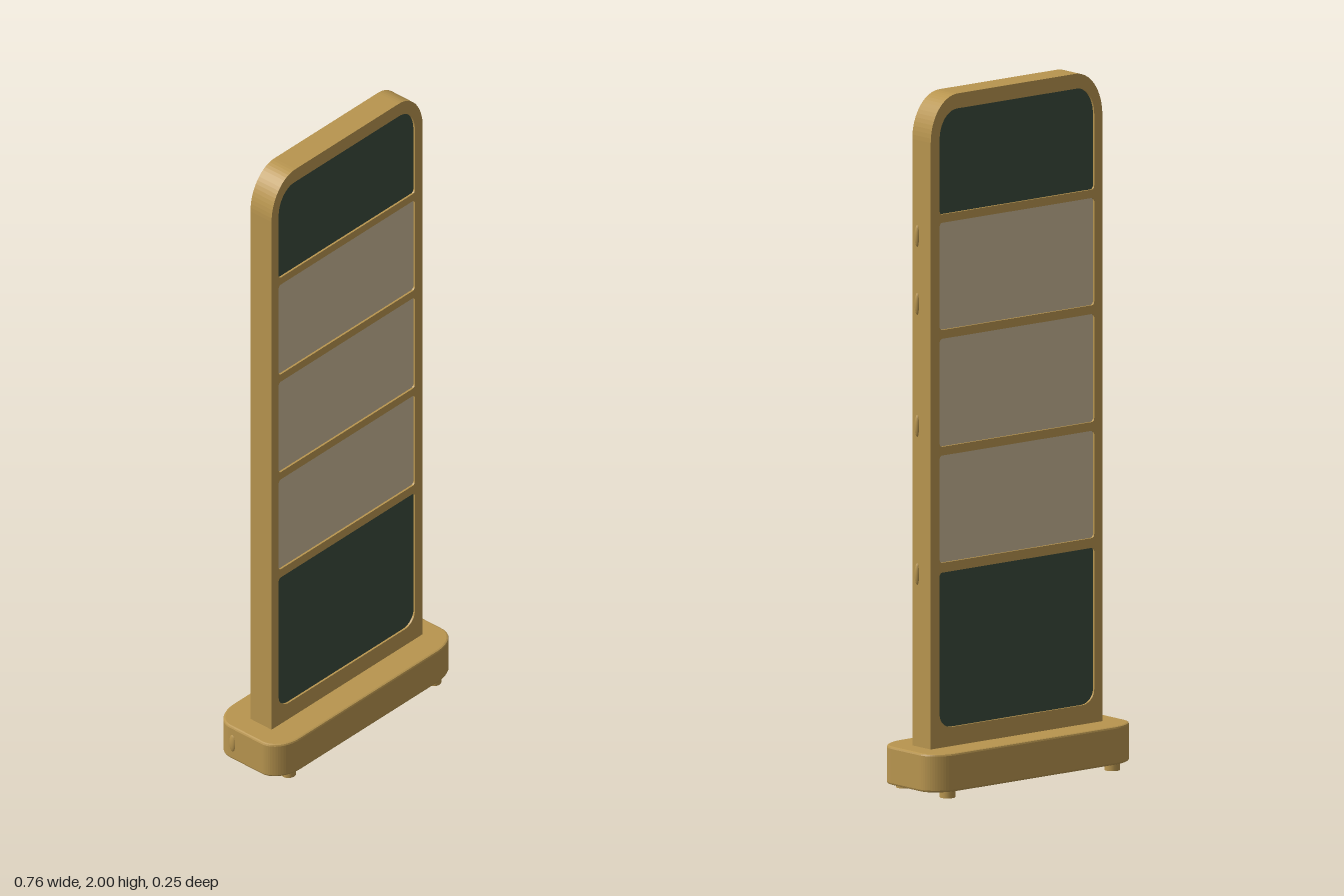
import * as THREE from 'three';

const material = (name, color) => {
  const m = new THREE.MeshStandardMaterial({ color });
  m.name = name;
  return m;
};

// Rectangle with separate elliptical corner radii for the top and bottom
function roundedRect(Type, x0, x1, y0, y1, top, bottom) {
  const s = new Type();
  const [tx, ty] = top, [bx, by] = bottom;
  s.moveTo(x0 + bx, y0);
  s.lineTo(x1 - bx, y0);
  s.absellipse(x1 - bx, y0 + by, bx, by, -Math.PI / 2, 0, false);
  s.lineTo(x1, y1 - ty);
  s.absellipse(x1 - tx, y1 - ty, tx, ty, 0, Math.PI / 2, false);
  s.lineTo(x0 + tx, y1);
  s.absellipse(x0 + tx, y1 - ty, tx, ty, Math.PI / 2, Math.PI, false);
  s.lineTo(x0, y0 + by);
  s.absellipse(x0 + bx, y0 + by, bx, by, Math.PI, Math.PI * 1.5, false);
  return s;
}

export function createModel() {
  const model = new THREE.Group();
  model.name = 'freestandingSign';
  const gold = material('warm gold', 0xb8954f);
  const green = material('dark green', 0x3a4a3c);
  const cream = material('cream', 0xc8b696);

  const add = (name, geometry, mat, x = 0, y = 0, z = 0) => {
    const mesh = new THREE.Mesh(geometry, mat);
    mesh.name = name;
    mesh.position.set(x, y, z);
    model.add(mesh);
    return mesh;
  };

  // Base slab with rounded ends and a fine bevel
  const bevel = 0.006;
  const baseShape = roundedRect(THREE.Shape, -0.374, 0.374, -0.121, 0.121, [0.085, 0.06], [0.085, 0.06]);
  const baseGeo = new THREE.ExtrudeGeometry(baseShape, {
    depth: 0.11 - 2 * bevel, bevelThickness: bevel, bevelSize: bevel, bevelSegments: 2, curveSegments: 8,
  });
  baseGeo.rotateX(-Math.PI / 2);
  add('base', baseGeo, gold, 0, 0.02 + bevel, 0);

  // Feet under the base
  for (const x of [-0.305, 0.305]) for (const z of [-0.095, 0.095]) {
    add('foot', new THREE.CylinderGeometry(0.022, 0.022, 0.022, 16), gold, x, 0.011, z);
  }

  // Panels: bottom, top, corner radii, colour
  const small = [0.01, 0.01];
  const panels = [
    ['lowerPanel', 0.185, 0.632, small, [0.045, 0.04], green],
    ['lowerCreamPanel', 0.66, 0.968, small, small, cream],
    ['middleCreamPanel', 0.993, 1.303, small, small, cream],
    ['upperCreamPanel', 1.328, 1.636, small, small, cream],
    ['topPanel', 1.66, 1.957, [0.065, 0.08], small, green],
  ];

  // Frame with one opening for each panel
  const frame = roundedRect(THREE.Shape, -0.315, 0.32, 0.125, 2, [0.1, 0.13], [0.001, 0.001]);
  for (const [, y0, y1, top, bottom] of panels) {
    frame.holes.push(roundedRect(THREE.Path, -0.285, 0.287, y0, y1, top, bottom));
  }
  const frameGeo = new THREE.ExtrudeGeometry(frame, {
    depth: 0.08, bevelEnabled: false, curveSegments: 8,
  });
  add('frame', frameGeo, gold, 0, 0, -0.04);

  // Slightly recessed panels, visible from both sides
  for (const [name, y0, y1, top, bottom, mat] of panels) {
    const shape = roundedRect(THREE.Shape, -0.285, 0.287, y0, y1, top, bottom);
    const geo = new THREE.ExtrudeGeometry(shape, { depth: 0.068, bevelEnabled: false, curveSegments: 8 });
    add(name, geo, mat, 0, 0, -0.034);
  }

  // Small catches on the left edge
  for (const y of [1.595, 1.4, 1.05, 0.625]) {
    const catchPiece = add('edgeCatch', new THREE.SphereGeometry(1, 10, 8), gold, 0.32, y, 0.018);
    catchPiece.scale.set(0.008, 0.032, 0.008);
  }

  // Round stud on the right end of the base
  const stud = add('baseStud', new THREE.SphereGeometry(1, 12, 8), gold, -0.378, 0.075, -0.05);
  stud.scale.set(0.007, 0.03, 0.012);

  return model;
}
